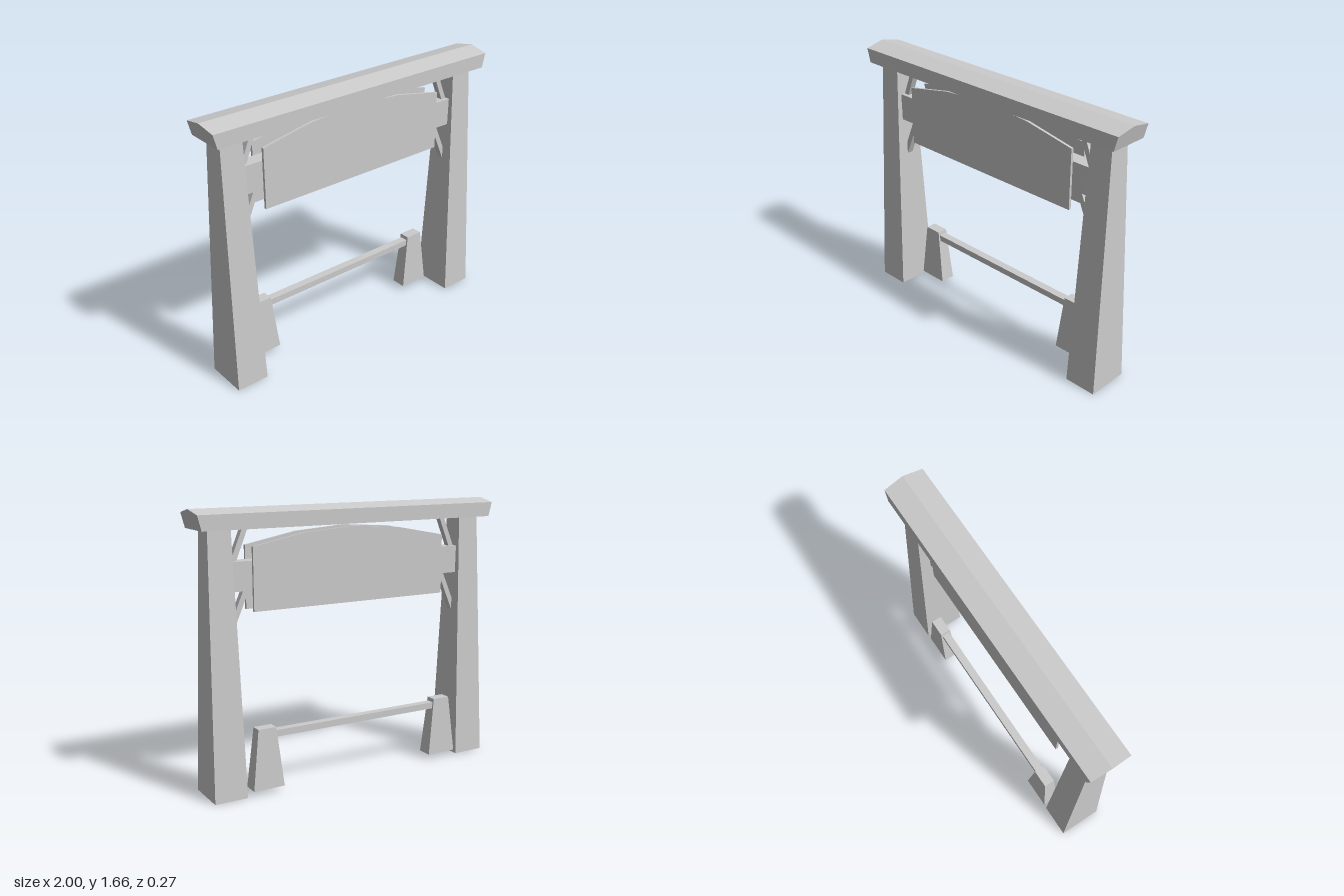
import * as THREE from 'three';

const material = new THREE.MeshStandardMaterial({ color: 0xcccccc, flatShading: true, side: THREE.DoubleSide });

function add(parent, name, geometry, x = 0, y = 0, z = 0) {
  const mesh = new THREE.Mesh(geometry, material);
  mesh.name = name;
  mesh.position.set(x, y, z);
  parent.add(mesh);
  return mesh;
}

// Four-sided tapered post standing on y = 0, open underneath
function taperedPost(bottomW, bottomD, topW, topD, height) {
  const box = new THREE.BoxGeometry(1, height, 1).translate(0, height / 2, 0);
  const p = box.attributes.position;
  for (let i = 0; i < p.count; i++) {
    const t = p.getY(i) / height;
    p.setX(i, p.getX(i) * THREE.MathUtils.lerp(bottomW, topW, t));
    p.setZ(i, p.getZ(i) * THREE.MathUtils.lerp(bottomD, topD, t));
  }
  const index = Array.from(box.index.array);
  index.splice(18, 6); // leave out the underside
  box.setIndex(index);
  box.clearGroups();
  box.computeVertexNormals();
  return box;
}

// Square bar between two points in the xy plane
function bar(parent, name, x1, y1, x2, y2, width, depth) {
  const length = Math.hypot(x2 - x1, y2 - y1);
  const mesh = add(parent, name, new THREE.BoxGeometry(length, width, depth), (x1 + x2) / 2, (y1 + y2) / 2);
  mesh.rotation.z = Math.atan2(y2 - y1, x2 - x1);
}

// Shallow gabled cap whose ends lean outward towards the ridge
function roofGeometry() {
  const section = new THREE.Shape([
    [-0.125, 1.55], [0.125, 1.55], [0.125, 1.638], [0, 1.663], [-0.125, 1.638],
  ].map(([z, y]) => new THREE.Vector2(z, y)));
  const geometry = new THREE.ExtrudeGeometry(section, { depth: 2, bevelEnabled: false });
  geometry.translate(0, 0, -1).rotateY(Math.PI / 2);
  const p = geometry.attributes.position;
  for (let i = 0; i < p.count; i++) {
    const half = 0.97 + (0.03 * (p.getY(i) - 1.55)) / 0.113;
    p.setX(i, Math.sign(p.getX(i)) * half);
  }
  geometry.computeVertexNormals();
  return geometry;
}

export function createModel() {
  const model = new THREE.Group();
  model.name = 'gateway';

  add(model, 'roofBeam', roofGeometry());

  const frame = new THREE.Group();
  frame.name = 'frame';
  frame.position.x = -0.003;
  model.add(frame);

  // Main posts and diagonal braces
  for (const [side, s] of [['left', 1], ['right', -1]]) {
    add(frame, side + 'Post', taperedPost(0.204, 0.268, 0.139, 0.127, 1.55), s * 0.85);
    bar(frame, side + 'UpperBrace', s * 0.77, 1.32, s * 0.672, 1.56, 0.032, 0.04);
    bar(frame, side + 'LowerBrace', s * 0.79, 0.94, s * 0.672, 1.21, 0.032, 0.04);
  }

  // Crossbeam that carries a board on each face
  add(frame, 'crossbeam', new THREE.BoxGeometry(1.57, 0.17, 0.088), 0, 1.28, 0);

  const outline = new THREE.Shape([
    [-0.65, 1.075], [0.65, 1.075], [0.65, 1.445], [0.325, 1.507],
    [0, 1.53], [-0.325, 1.507], [-0.65, 1.445],
  ].map(([x, y]) => new THREE.Vector2(x, y)));
  const board = new THREE.ExtrudeGeometry(outline, { depth: 0.016, bevelEnabled: false });
  add(frame, 'frontBoard', board, 0, 0, 0.046);
  add(frame, 'backBoard', board, 0, 0, -0.062);

  // Low rail on two short posts, set towards the back
  const barrier = new THREE.Group();
  barrier.name = 'lowBarrier';
  barrier.position.set(-0.012, 0, -0.087);
  model.add(barrier);
  for (const [side, s] of [['left', 1], ['right', -1]]) {
    add(barrier, side + 'ShortPost', taperedPost(0.198, 0.098, 0.114, 0.068, 0.365), s * 0.62, 0.03);
  }
  add(barrier, 'rail', new THREE.BoxGeometry(1.16, 0.04, 0.05), 0, 0.352, 0);

  return model;
}
